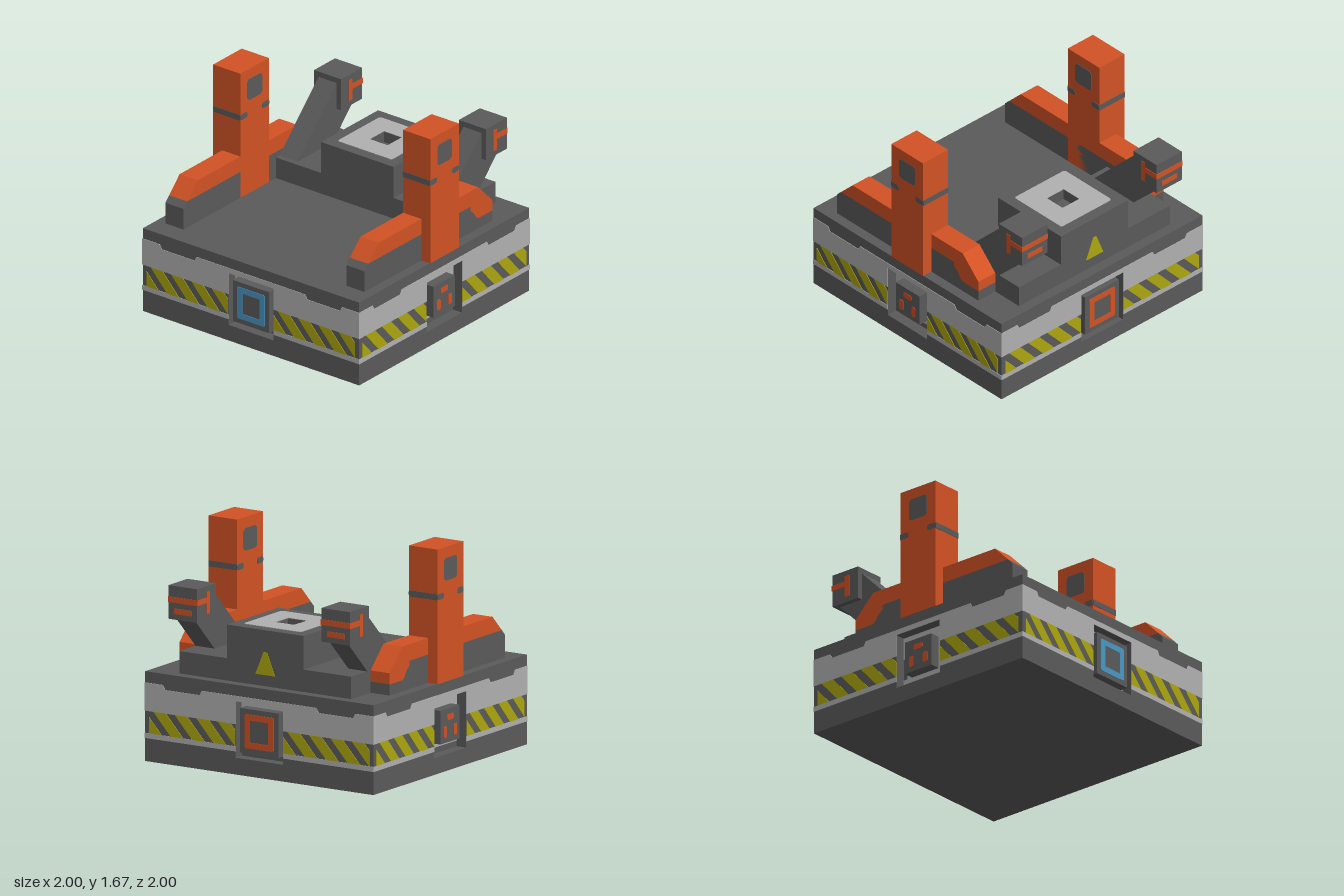
import * as THREE from 'three';

const material = (name, color) => Object.assign(new THREE.MeshStandardMaterial({ color }), { name });
const dark = material('dark grey', 0x5a5a5a);
const light = material('light grey', 0xb0b0b0);
const orange = material('orange', 0xd25224);
const yellow = material('hazard yellow', 0xaca60e);
const blue = material('blue', 0x4a96c2);

const SKIN = 0.004;        // thickness of painted plates
const HALF = 1 - SKIN;     // half width of the base
const RECESS = 0.083;      // depth of the pockets in the base

function add(parent, name, geometry, mat) {
  const mesh = new THREE.Mesh(geometry, mat);
  mesh.name = name;
  parent.add(mesh);
  return mesh;
}

// Box given by its minimum and maximum corners
function block(parent, name, mat, [x0, y0, z0], [x1, y1, z1]) {
  const g = new THREE.BoxGeometry(x1 - x0, y1 - y0, z1 - z0);
  return add(parent, name, g.translate((x0 + x1) / 2, (y0 + y1) / 2, (z0 + z1) / 2), mat);
}

const toPoints = (list) => list.map(([x, y]) => new THREE.Vector2(x, y));
const rect = (x0, y0, x1, y1) => [[x0, y0], [x1, y0], [x1, y1], [x0, y1]];
const cutRect = (x0, y0, x1, y1, c) => [
  [x0 + c, y0], [x1 - c, y0], [x1, y0 + c], [x1, y1 - c],
  [x1 - c, y1], [x0 + c, y1], [x0, y1 - c], [x0, y0 + c],
];

function extrude(outline, depth, hole) {
  const shape = new THREE.Shape(toPoints(outline));
  if (hole) shape.holes.push(new THREE.Path(toPoints(hole)));
  return new THREE.ExtrudeGeometry(shape, { depth, bevelEnabled: false });
}

// Thin painted plate facing +z, lying on the plane z
function paint(parent, name, mat, z, outline, hole) {
  return add(parent, name, extrude(outline, SKIN, hole).translate(0, 0, z), mat);
}

// Side profile drawn in (z, y), extruded from x0 to x1
function profile(parent, name, mat, outline, x0, x1) {
  return add(parent, name, extrude(outline, x1 - x0).rotateY(-Math.PI / 2).translate(x1, 0, 0), mat);
}

function group(parent, name, angle = 0) {
  const g = new THREE.Group();
  g.name = name;
  g.rotation.y = angle;
  parent.add(g);
  return g;
}

// Cuts a polygon with the vertical line x = limit, keeping one side
function clip(poly, limit, sign) {
  const out = [];
  poly.forEach((a, i) => {
    const b = poly[(i + 1) % poly.length];
    const da = (a[0] - limit) * sign, db = (b[0] - limit) * sign;
    if (da >= 0) out.push(a);
    if (da * db < 0) out.push([limit, a[1] + (b[1] - a[1]) * da / (da - db)]);
  });
  return out;
}

// One wall of the base with its pocket, bands and hazard stripes
function baseSide(parent, name, angle, halfWidth, kind) {
  const side = group(parent, name, angle);
  const floor = HALF - RECESS;
  const pocket = rect(-0.208, 0.125, 0.208, 0.545);
  const wall = extrude(rect(-halfWidth, 0, halfWidth, 0.667), RECESS, pocket);
  add(side, 'wall', wall.translate(0, 0, floor), dark);

  paint(side, 'upperBand', light, HALF, [
    [-1, 0.375], [-0.208, 0.375], [-0.208, 0.545], [0.208, 0.545], [0.208, 0.375], [1, 0.375],
    [1, 0.585], [0.84, 0.585], [0.82, 0.55], [0.52, 0.55], [0.5, 0.585],
    [-0.5, 0.585], [-0.52, 0.55], [-0.82, 0.55], [-0.84, 0.585], [-1, 0.585],
  ]);
  for (const [a, b] of [[-1, -0.208], [0.208, 1]]) {
    paint(side, 'lowerBand', light, HALF, rect(a, 0.172, b, 0.21));
  }
  for (const [a, b] of [[-0.96, -0.21], [0.21, 0.96]]) {
    for (let x = a - 0.15; x < b; x += 0.1875) {
      const stripe = [[x + 0.15, 0.21], [x + 0.26, 0.21], [x + 0.11, 0.375], [x, 0.375]];
      const cut = clip(clip(stripe, a, 1), b, -1);
      if (cut.length > 2) paint(side, 'hazardStripe', yellow, HALF, cut);
    }
  }
  paint(side, 'pocketFloor', light, floor, [
    [-0.208, 0.17], [0.208, 0.17], [0.208, 0.21], [0.17, 0.21], [0.17, 0.375], [0.208, 0.375],
    [0.208, 0.545], [-0.208, 0.545], [-0.208, 0.375], [-0.17, 0.375], [-0.17, 0.21], [-0.208, 0.21],
  ]);

  // Panel standing in the pocket
  if (kind === 'marks') {
    block(side, 'panel', dark, [-0.125, 0.21, floor], [0.125, 0.46, HALF]);
    paint(side, 'panelMark', orange, HALF, cutRect(-0.043, 0.375, 0.043, 0.418, 0.01));
    for (const s of [-1, 1]) {
      const x = s * 0.065;
      paint(side, 'panelMark', orange, HALF, cutRect(x - 0.021, 0.25, x + 0.021, 0.335, 0.01));
    }
  } else {
    block(side, 'panel', dark, [-0.167, 0.17, floor], [0.167, 0.5, HALF]);
    paint(side, 'panelRing', kind, HALF, cutRect(-0.128, 0.208, 0.128, 0.462, 0.01), rect(-0.08, 0.253, 0.08, 0.417));
  }
}

// Upright post with bands and a square window, centred on its own axis
function tower(parent, x) {
  const g = group(parent, 'tower');
  g.position.x = x;
  block(g, 'post', orange, [-0.125, 0.667, -0.167], [0.125, 1.667, 0.167]);
  for (const s of [0, 1]) {
    const ends = group(g, 'postEnd', s * Math.PI);
    paint(ends, 'postBand', dark, 0.167, rect(-0.125, 1.29, 0.125, 1.335));
    const flank = group(g, 'postFlank', Math.PI / 2 + s * Math.PI);
    const z = s === (x > 0 ? 0 : 1) ? 0.125 - SKIN + 0.001 : 0.125;
    paint(flank, 'postWindow', dark, z, cutRect(-0.085, 1.418, 0.085, 1.585, 0.02));
    paint(flank, 'postBand', dark, z, cutRect(-0.167, 1.29, -0.088, 1.335, 0.012));
    paint(flank, 'postBand', dark, z, cutRect(0.088, 1.29, 0.167, 1.335, 0.012));
  }
}

// Sloping strut with a box head, centred on its own axis
function crane(parent, x) {
  const g = group(parent, 'strutAssembly');
  g.position.x = x;
  profile(g, 'strut', dark, [[-0.292, 0.833], [-0.708, 0.833], [-0.97, 1.095], [-0.76, 1.301]], -0.083, 0.083);
  const head = group(g, 'head');
  head.position.set(0, 1.208, -0.875);
  block(head, 'headBox', dark, [-0.125, -0.125, -0.125 + SKIN], [0.125, 0.125, 0.125]);
  for (const s of [-1, 1]) {
    const flank = group(head, 'headFlank', s * Math.PI / 2);
    const toBack = (a, b) => (s > 0 ? [a, b] : [-b, -a]);
    const [u0, u1] = toBack(-0.04, 0), [v0, v1] = toBack(0, 0.125);
    paint(flank, 'headMark', orange, 0.125, rect(u0, -0.083, u1, 0.083));
    paint(flank, 'headMark', orange, 0.125, rect(v0, 0, v1, 0.042));
  }
  const back = group(head, 'headBack', Math.PI);
  paint(back, 'headMark', orange, 0.125 - SKIN, rect(-0.125, 0, 0.125, 0.042));
  paint(back, 'headMark', orange, 0.125 - SKIN, rect(-0.075, -0.083, 0.075, -0.042));
}

export function createModel() {
  const model = new THREE.Group();
  model.name = 'platform';

  // Base
  const base = group(model, 'base');
  const core = HALF - RECESS;
  block(base, 'core', dark, [-core, 0, -core], [core, 0.667, core]);
  baseSide(base, 'frontSide', 0, HALF, blue);
  baseSide(base, 'backSide', Math.PI, HALF, orange);
  baseSide(base, 'leftSide', Math.PI / 2, core, 'marks');
  baseSide(base, 'rightSide', -Math.PI / 2, core, 'marks');

  // Towers, side rails and struts
  const step = [[-0.41, 0.877], [-0.41, 0.84], [-0.45, 0.81], [-0.47, 0.775], [-0.5, 0.75], [-0.667, 0.75]];
  const railTop = [...step, [-0.667, 0.833], [-0.5, 1], [0.667, 1], [0.79, 0.877]];
  const railBottom = [...step, [-0.667, 0.667], [0.833, 0.667], [0.833, 0.833], [0.79, 0.877]];
  for (const s of [-1, 1]) {
    tower(model, s * 0.875);
    const x0 = s > 0 ? 0.75 : -0.917;
    profile(model, 'railTop', orange, railTop, x0, x0 + 0.167);
    profile(model, 'railBottom', dark, railBottom, x0, x0 + 0.167);
    crane(model, s * 0.667);
  }

  // Rear housing with a vent on top
  const housing = group(model, 'housing');
  block(housing, 'plinth', dark, [-0.749, 0.667, -0.917], [0.749, 0.833, -0.25]);
  block(housing, 'ventBody', dark, [-0.333, 0.833, -0.917], [0.333, 1, -0.25]);
  const opening = rect(-0.083, 0.5, 0.083, 0.667);
  const rim = extrude(rect(-0.333, 0.25, 0.333, 0.917), 0.083, opening);
  add(housing, 'ventRim', rim.rotateX(-Math.PI / 2).translate(0, 1, 0), dark);
  const plate = extrude(cutRect(-0.25, 0.333, 0.25, 0.833, 0.012), SKIN, opening);
  add(housing, 'ventPlate', plate.rotateX(-Math.PI / 2).translate(0, 1.083, 0), light);
  const back = group(housing, 'housingBack', Math.PI);
  paint(back, 'warningTriangle', yellow, 0.917, [[-0.085, 0.75], [0.085, 0.75], [0.015, 0.92], [-0.015, 0.92]]);

  return model;
}
